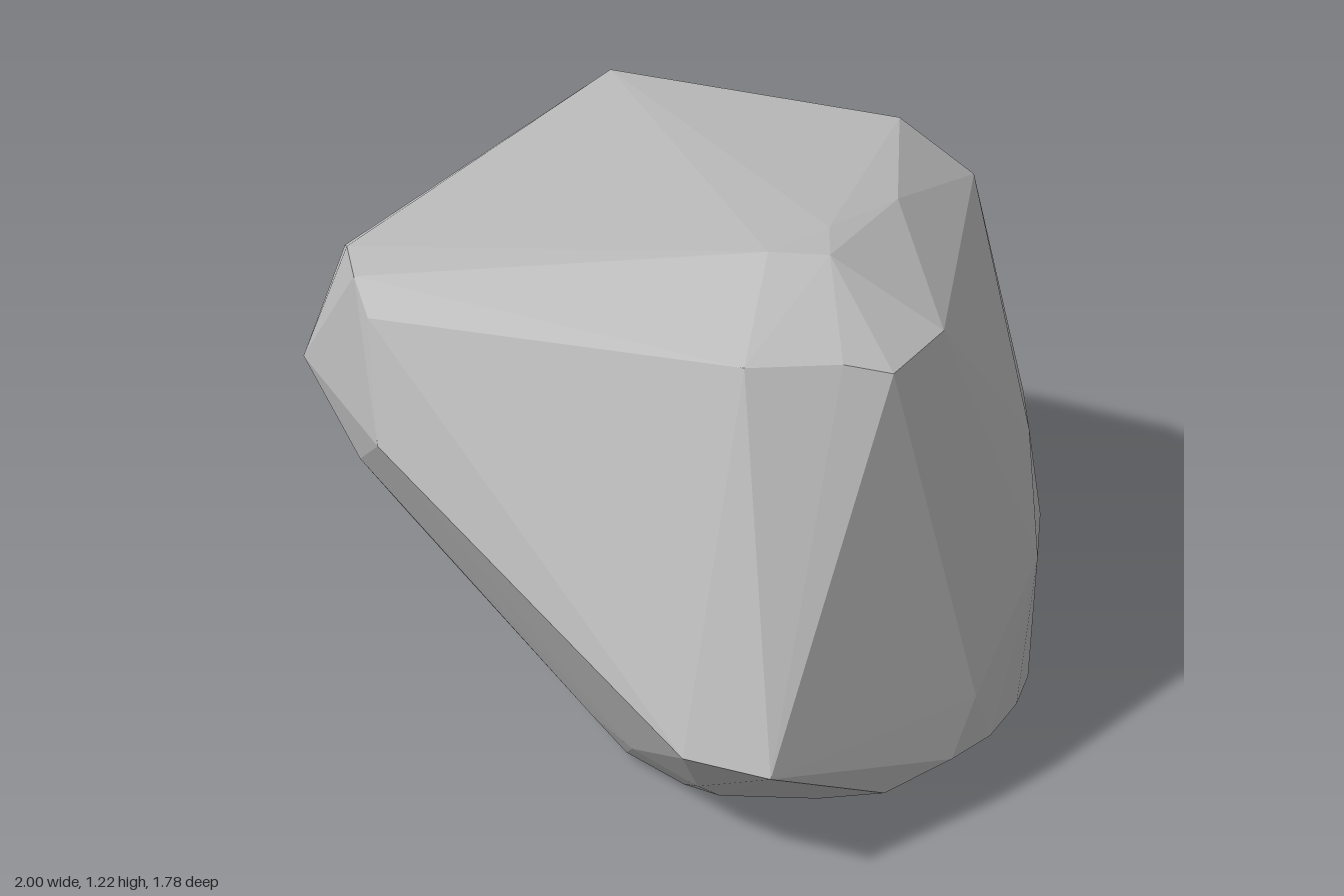
import * as THREE from 'three';
import { ConvexGeometry } from 'three/addons/geometries/ConvexGeometry.js';

// Corners of the boulder, grouped by the ring they belong to
const base = [
  [-1, 0, -0.39], [-0.35, 0, -0.74], [0.6, 0.015, -0.7], [0.87, 0.03, 0.11], [0.89, 0.03, 0.27],
  [0.8, 0.03, 0.45], [0.65, 0.03, 0.57], [0.44, 0.03, 0.65], [0.35, 0.03, 0.645], [0.18, 0.03, 0.59],
];
const lowerRim = [
  [0.1, 0.13, 0.61], [0.24, 0.13, 0.69], [0.43, 0.13, 0.755], [0.45, 0.31, 0.89], [0.65, 0.31, 0.88],
  [0.82, 0.13, 0.61], [0.93, 0.16, 0.47], [0.98, 0.15, 0.34], [1, 0.15, 0.2], [0.99, 0.14, 0.07],
  [0.83, 0.18, -0.57],
];
const sides = [
  [0.69, 0.37, -0.84], [0.57, 0.37, -0.895], [-0.88, 0.29, -0.73], [-0.89, 0.6, -0.73],
  [-0.78, 0.75, 0.34], [-0.55, 0.6, 0.49], [-0.44, 0.44, 0.45], [-0.41, 0.75, 0.64],
  [0.985, 0.47, 0.06], [0.95, 0.28, 0.38], [0.89, 0.68, -0.14],
];
const shoulder = [
  [-0.74, 0.95, 0.12], [-0.68, 1.04, 0.28], [-0.62, 1.09, 0.37], [-0.54, 1.08, 0.48], [-0.48, 1.01, 0.53],
  [0.43, 1.08, 0.52], [0.62, 1.085, 0.43], [0.72, 1.065, 0.39], [0.765, 1.08, 0.19],
];
const crown = [
  [-0.44, 1.15, -0.7], [-0.03, 1.13, -0.74], [0.35, 1.15, -0.71], [0.55, 1.03, -0.715],
  [0.37, 1.215, 0.24], [0.5, 1.215, 0.2], [0.45, 1.215, 0.07], [0.52, 1.18, -0.2],
];

export function createModel() {
  const group = new THREE.Group();
  group.name = 'rock';

  const stone = new THREE.MeshStandardMaterial({ color: 0xb9b9b9 });
  stone.name = 'light stone grey';

  // Faceted boulder: the convex hull of its corners
  const corners = [...base, ...lowerRim, ...sides, ...shoulder, ...crown];
  const boulder = new THREE.Mesh(
    new ConvexGeometry(corners.map((p) => new THREE.Vector3(...p))),
    stone,
  );
  boulder.name = 'boulder';
  group.add(boulder);
  return group;
}
